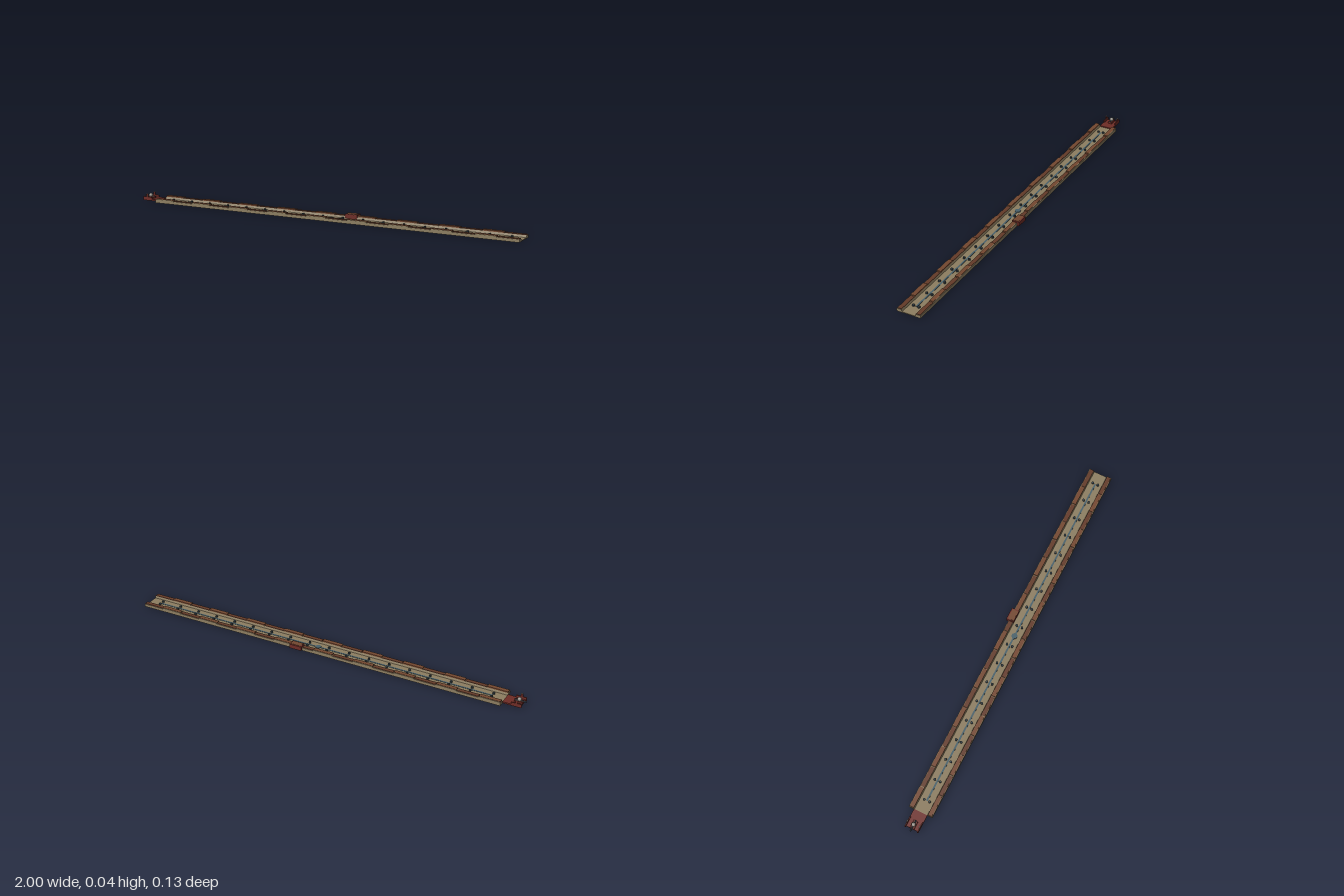
import * as THREE from 'three';

const mat = (color) => new THREE.MeshStandardMaterial({ color, flatShading: true });
const tan = mat(0x8c7d60), brown = mat(0x74472f), darkBrown = mat(0x633a28);
const red = mat(0x6e2c26), steel = mat(0x48606a), bolt = mat(0x38444a), grey = mat(0x8f8a82);

export function createModel() {
  const model = new THREE.Group();
  const add = (name, geometry, material, x, y, z) => {
    const mesh = new THREE.Mesh(geometry, material);
    mesh.name = name;
    mesh.position.set(x, y, z);
    model.add(mesh);
    return mesh;
  };
  // box given by its minimum and maximum corners
  const box = (name, material, [x0, x1], [y0, y1], [z0, z1]) =>
    add(name, new THREE.BoxGeometry(x1 - x0, y1 - y0, z1 - z0), material,
      (x0 + x1) / 2, (y0 + y1) / 2, (z0 + z1) / 2);

  const mid = 0.005;            // centre line of the track
  const start = -0.9, end = 1;

  // channel: one cross-section swept along the track
  const half = [[0.059, 0], [0.059, 0.014], [0.036, 0.014], [0.033, 0.004]];
  const outline = [...half, ...half.slice().reverse().map(([z, y]) => [-z, y])];
  const section = new THREE.Shape(outline.map(([z, y]) => new THREE.Vector2(z, y)));
  const channel = new THREE.ExtrudeGeometry(section, { depth: end - start, bevelEnabled: false });
  channel.rotateY(Math.PI / 2);
  add('channel', channel, tan, start, 0, mid);

  // cladding blocks on both rims, alternating in height
  const count = 18, step = (end - start) / count;
  for (const side of [-1, 1]) {
    for (let i = 0; i < count; i++) {
      const high = i % 2 === 0;
      const x0 = start + i * step;
      const inner = mid + side * 0.036, outer = mid + side * 0.056;
      box('rimBlock', high ? brown : darkBrown, [x0 + 0.002, x0 + step - 0.002],
        [0.013, high ? 0.02 : 0.0165], [Math.min(inner, outer), Math.max(inner, outer)]);
      // lighter outer lip beside the tall blocks
      if (high) box('rimLip', tan, [x0 + 0.002, x0 + step - 0.002], [0.013, 0.0185],
        [mid + side * 0.0575 - 0.0015, mid + side * 0.0575 + 0.0015]);
    }
  }

  // central guide strip, visible above and below, and its round hub
  box('guideStrip', steel, [-0.84, 0.94], [-0.0003, 0.0055], [mid - 0.004, mid + 0.004]);
  add('hub', new THREE.CylinderGeometry(0.014, 0.014, 0.007, 16), steel, 0.05, 0.0034, mid);

  // paired bolts along the strip
  const boltGeo = new THREE.CylinderGeometry(0.006, 0.006, 0.008, 8);
  for (let i = 0; i < 18; i++)
    for (const side of [-1, 1])
      add('bolt', boltGeo, bolt, -0.84 + i * 0.1047, 0.0075, mid + side * 0.0135);

  // control box on the back rim
  box('controlBox', red, [0.105, 0.167], [0.004, 0.024], [-0.066, -0.028]);
  box('controlBoxLid', brown, [0.11, 0.162], [0.022, 0.0255], [-0.06, -0.03]);

  // end carriage: plate, cradle, posts, ball and rod
  box('endPlate', red, [-0.985, start], [0.002, 0.009], [mid - 0.034, mid + 0.034]);
  box('cradle', red, [-0.985, -0.945], [0.008, 0.017], [mid - 0.011, mid + 0.011]);
  for (const side of [-1, 1]) {
    const z = mid + side * 0.0315;
    box('cheek', red, [-0.99, -0.94], [0.002, 0.02], [z - 0.0025, z + 0.0025]);
    box('post', red, [-0.972, -0.962], [0.018, 0.034], [z - 0.0025, z + 0.0025]);
    box('postCap', grey, [-0.973, -0.961], [0.034, 0.0355], [z - 0.0025, z + 0.0025]);
  }
  add('ball', new THREE.SphereGeometry(0.01, 16, 12),
    new THREE.MeshStandardMaterial({ color: 0x8f8a82 }), -0.967, 0.0235, mid);
  add('rod', new THREE.CylinderGeometry(0.0035, 0.0035, 0.055, 8), bolt, -0.9725, 0.018, mid)
    .rotation.z = Math.PI / 2;

  return model;
}
